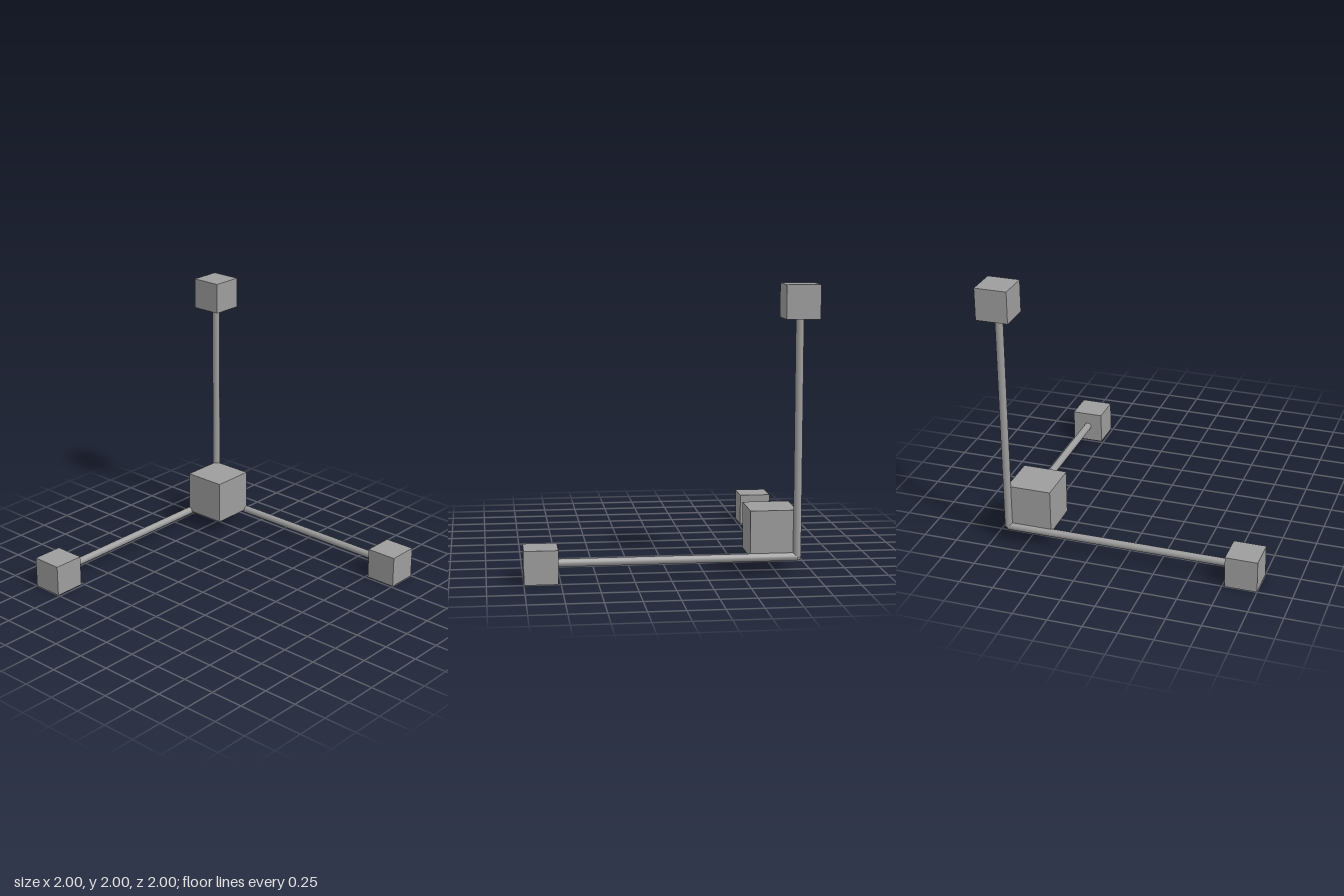
import * as THREE from 'three';

const material = new THREE.MeshStandardMaterial({ color: 0x9d9d9d });

function addCube(group, name, size, center) {
  const cube = new THREE.Mesh(new THREE.BoxGeometry(size, size, size), material);
  cube.name = name;
  cube.position.copy(center);
  group.add(cube);
}

export function createModel() {
  const group = new THREE.Group();
  group.name = 'axisGizmo';

  const origin = new THREE.Vector3(0.882, 0.121, -0.882);
  const endSize = 0.233, rodRadius = 0.028, rodLength = 1.7;
  const corner = new THREE.Vector3(1 - endSize / 2, endSize / 2, endSize / 2 - 1);
  const up = new THREE.Vector3(0, 1, 0);

  // Three rods leaving one corner, each tipped with a cube
  const axes = {
    side: new THREE.Vector3(-1, 0, 0),
    upright: new THREE.Vector3(0, 1, 0),
    front: new THREE.Vector3(0, 0, 1),
  };
  for (const [name, dir] of Object.entries(axes)) {
    const rod = new THREE.Mesh(new THREE.CylinderGeometry(rodRadius, rodRadius, rodLength, 16), material);
    rod.name = name + 'Rod';
    rod.quaternion.setFromUnitVectors(up, dir);
    rod.position.copy(origin).addScaledVector(dir, rodLength / 2);
    group.add(rod);
    addCube(group, name + 'EndCube', endSize, corner.clone().addScaledVector(dir, 2 - endSize));
  }

  // Larger cube nested in the corner between the rods
  const hubSize = 0.326;
  const inward = new THREE.Vector3(-1, 1, 1).multiplyScalar(hubSize / 2);
  addCube(group, 'cornerCube', hubSize, origin.clone().add(inward));

  return group;
}
